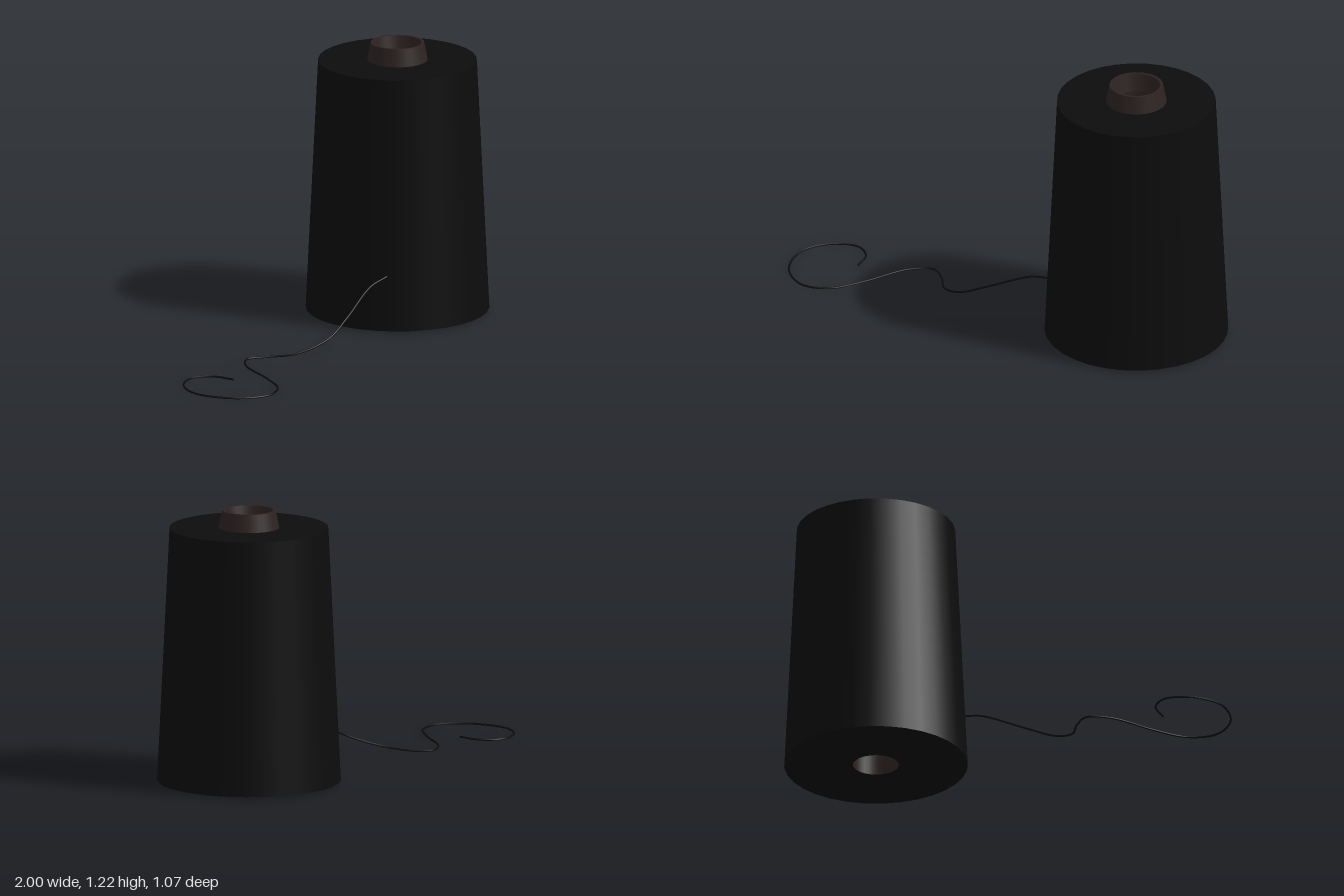
import * as THREE from 'three';
import { mergeGeometries } from 'three/addons/utils/BufferGeometryUtils.js';

const SIDES = 32;

// Turned body with a sharp edge at every profile point (profile runs counter-clockwise)
function turned(profile) {
  const bands = [];
  for (let i = 0; i < profile.length - 1; i++) {
    const pair = [profile[i], profile[i + 1]].map(([r, y]) => new THREE.Vector2(r, y));
    bands.push(new THREE.LatheGeometry(pair, SIDES));
  }
  return mergeGeometries(bands);
}

export function createModel() {
  const threadBlack = new THREE.MeshStandardMaterial({ color: 0x0c0c0c });
  threadBlack.name = 'threadBlack';
  const coreBrown = new THREE.MeshStandardMaterial({ color: 0x2c2221 });
  coreBrown.name = 'coreBrown';

  const group = new THREE.Group();
  group.name = 'threadCone';

  const spool = new THREE.Group();
  spool.name = 'spool';
  spool.position.set(0.595, 0, -0.132);
  group.add(spool);

  // Tapered body of wound thread
  const wound = new THREE.Mesh(
    turned([[0.101, 0.01], [0.405, 0.01], [0.35, 1.142], [0.125, 1.142]]), threadBlack);
  wound.name = 'woundThread';
  spool.add(wound);

  // Hollow core: collar above the thread, rounded mouth, open bore to the bottom
  const core = new THREE.Mesh(
    turned([[0.134, 1.14], [0.118, 1.22], [0.106, 1.22], [0.09, 1.14], [0.101, 0.01]]), coreBrown);
  core.name = 'core';
  spool.add(core);

  // Loose thread end, falling from the spool and curling on the ground
  const path = [
    [0.30, 0.255, 0.122], [0.20, 0.228, 0.125], [0.0, 0.133, 0.187], [-0.13, 0.07, 0.211],
    [-0.27, 0.022, 0.165], [-0.37, 0.006, 0.073], [-0.45, 0.005, 0.038], [-0.53, 0.005, 0.115],
    [-0.60, 0.005, 0.33], [-0.67, 0.005, 0.475], [-0.78, 0.005, 0.532], [-0.92, 0.005, 0.465],
    [-0.995, 0.005, 0.30], [-0.945, 0.005, 0.162], [-0.84, 0.005, 0.099], [-0.755, 0.005, 0.14],
    [-0.718, 0.005, 0.24],
  ].map((p) => new THREE.Vector3(...p));
  const curve = new THREE.CatmullRomCurve3(path);
  const looseThread = new THREE.Mesh(new THREE.TubeGeometry(curve, 160, 0.0045, 8), threadBlack);
  looseThread.name = 'looseThread';
  group.add(looseThread);

  return group;
}
